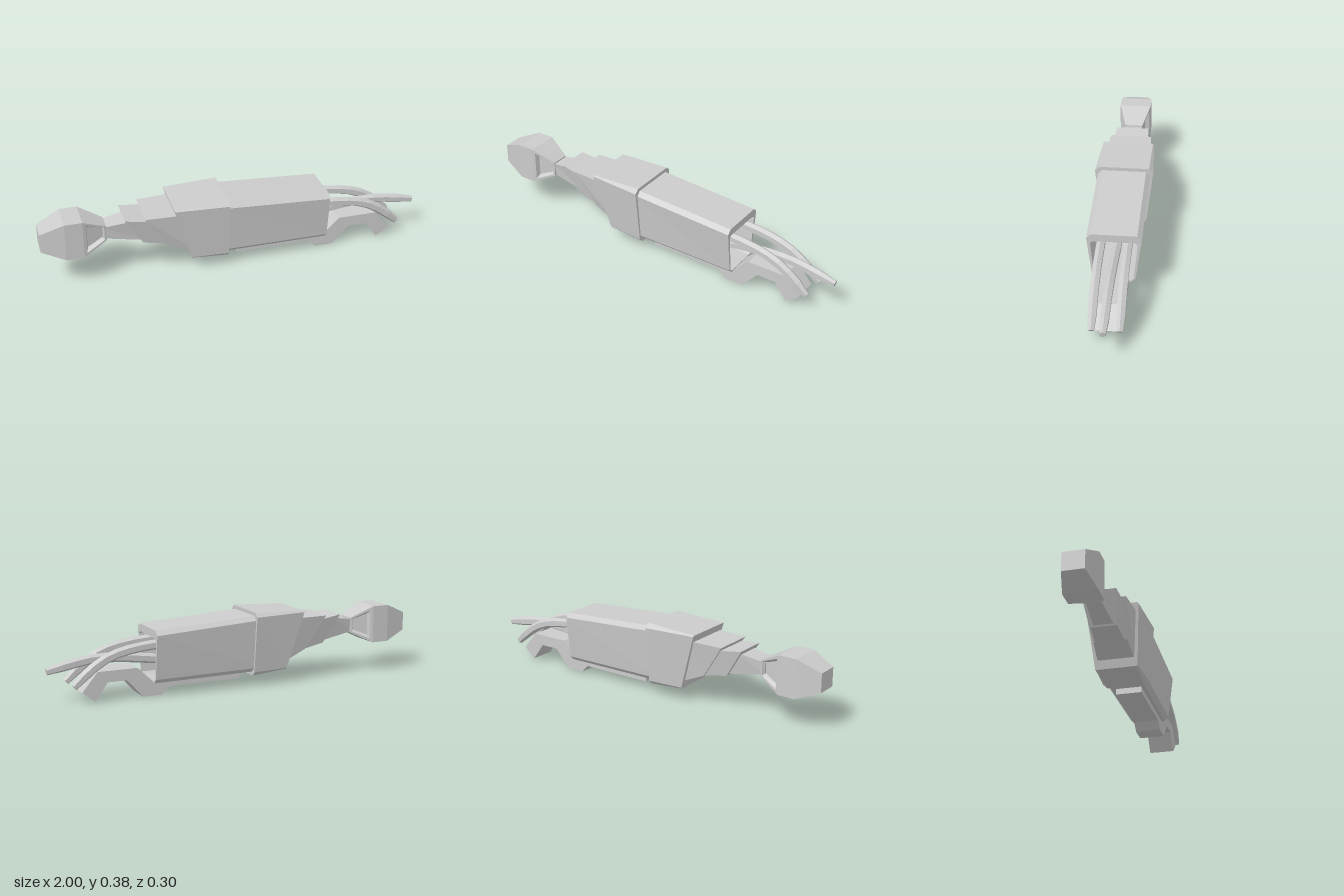
import * as THREE from 'three';

const material = new THREE.MeshStandardMaterial({ color: 0xcccccc, flatShading: true });

// Skin a list of equal-sized point rings; optional caps and skipped side strips
function loft(name, rings, { start = true, end = true, skip = () => false } = {}) {
  const n = rings[0].length, index = [];
  for (let r = 0; r < rings.length - 1; r++) {
    for (let i = 0; i < n; i++) {
      if (skip(r, i)) continue;
      const j = (i + 1) % n, a = r * n + i, b = r * n + j;
      index.push(a, b, b + n, a, b + n, a + n);
    }
  }
  const last = (rings.length - 1) * n;
  for (let i = 1; i < n - 1; i++) {
    if (start) index.push(0, i + 1, i);
    if (end) index.push(last, last + i, last + i + 1);
  }
  const geometry = new THREE.BufferGeometry();
  geometry.setAttribute('position', new THREE.Float32BufferAttribute(rings.flat(2), 3));
  geometry.setIndex(index);
  const flat = geometry.toNonIndexed();
  flat.computeVertexNormals();
  const mesh = new THREE.Mesh(flat, material);
  mesh.name = name;
  return mesh;
}

// Slanted trapezoid section across x: top and bottom x, y, half width, plus corner chamfer
function section(xT, xB, yT, yB, wT, wB, c = 0) {
  const half = c
    ? [[yT, wT - c], [yT - c, wT], [yB + c, wB], [yB, wB - c]]
    : [[yT, wT], [yB, wB]];
  const point = (y, z) => [xB + (xT - xB) * (y - yB) / (yT - yB), y, z];
  const left = half.map(([y, w]) => point(y, w));
  const right = half.map(([y, w]) => point(y, -w)).reverse();
  // start at the upper right corner
  return [right[right.length - 1], ...left, ...right.slice(0, -1)];
}

// Hexagonal cable swept along a path in the xy plane
function cable(name, points, z) {
  const curve = new THREE.CatmullRomCurve3(points.map(([x, y]) => new THREE.Vector3(x, y, z)));
  const hex = [[0, 0.025], [0.02, 0.013], [0.02, -0.013], [0, -0.025], [-0.02, -0.013], [-0.02, 0.013]];
  const rings = [];
  const steps = 10;
  for (let i = 0; i <= steps; i++) {
    const p = curve.getPoint(i / steps), t = curve.getTangent(i / steps);
    const s = i === steps ? 0.7 : 1;
    rings.push(hex.map(([w, h]) => [p.x - t.y * h * s, p.y + t.x * h * s, z + w * s]));
  }
  return loft(name, rings);
}

export function createModel() {
  const model = new THREE.Group();
  model.name = 'mechanicalArm';

  // Hollow main sleeve, open at the +x end
  model.add(loft('sleeve', [
    section(-0.12, -0.12, 0.37, 0.072, 0.135, 0.11, 0.022),
    section(0.475, 0.475, 0.335, 0.066, 0.133, 0.105, 0.022),
    section(0.475, 0.475, 0.296, 0.076, 0.114, 0.096, 0.012),
    section(0.05, 0.05, 0.296, 0.08, 0.114, 0.096, 0.012),
  ]));

  // Collar with a slanted rear edge
  model.add(loft('collar', [
    section(-0.34, -0.25, 0.373, 0.07, 0.135, 0.108, 0.006),
    section(-0.06, -0.06, 0.385, 0.052, 0.15, 0.118, 0.022),
  ]));

  // Overlapping slanted segments narrowing to the neck
  model.add(loft('wideSegment', [
    section(-0.484, -0.37, 0.333, 0.16, 0.108, 0.085),
    section(-0.3, -0.22, 0.335, 0.095, 0.12, 0.095),
  ]));
  model.add(loft('middleSegment', [
    section(-0.582, -0.49, 0.328, 0.18, 0.085, 0.065),
    section(-0.44, -0.35, 0.308, 0.155, 0.095, 0.075),
  ]));
  model.add(loft('neck', [
    section(-0.69, -0.69, 0.285, 0.222, 0.042, 0.036),
    section(-0.54, -0.46, 0.31, 0.182, 0.065, 0.052),
  ]));

  // Faceted head, its sides near the neck left open for the recesses
  const head = new THREE.Group();
  head.name = 'head';
  const headSections = [
    [-1, 0.302, 0.205, 0.055], [-0.88, 0.355, 0.157, 0.085],
    [-0.79, 0.355, 0.157, 0.085], [-0.67, 0.295, 0.215, 0.047],
  ].map(([x, yT, yB, w]) => section(x, x, yT, yB, w, w));
  head.add(loft('headShell', headSections, { skip: (r, i) => r === 2 && i % 2 === 1 }));

  // Recessed side panels
  const sideZ = x => 0.085 + (x + 0.79) * (0.047 - 0.085) / 0.12;
  const frame = (x0, h0, x1, h1, depth) =>
    [[x0, -h0], [x1, -h1], [x1, h1], [x0, h0]].map(([x, h]) => [x, 0.256 + h, sideZ(x) - depth]);
  const panel = [
    [[-0.79, 0.157, 0.085], [-0.67, 0.215, 0.047], [-0.67, 0.295, 0.047], [-0.79, 0.355, 0.085]],
    frame(-0.775, 0.077, -0.68, 0.036, 0),
    frame(-0.768, 0.058, -0.69, 0.028, 0.022),
  ];
  head.add(loft('leftRecess', panel, { start: false }));
  const mirrored = panel.map(ring => ring.map(([x, y, z]) => [x, y, -z]).reverse());
  head.add(loft('rightRecess', mirrored, { start: false }));
  model.add(head);

  // Bent plate running under the sleeve and out past its open end
  const outline = [
    [0, 0.04], [0.39, 0.04], [0.43, 0], [0.527, 0], [0.61, 0.093], [0.71, 0.093],
    [0.775, 0.003], [0.84, 0.055], [0.76, 0.15], [0.555, 0.15], [0.475, 0.072], [0, 0.076],
  ];
  const shape = new THREE.Shape(outline.map(([x, y]) => new THREE.Vector2(x, y)));
  const plateGeometry = new THREE.ExtrudeGeometry(shape, { depth: 0.133, bevelEnabled: false });
  plateGeometry.translate(0, 0, -0.0665);
  const plate = new THREE.Mesh(plateGeometry, material);
  plate.name = 'lowerPlate';
  model.add(plate);

  // Two outer cables drooping and one central cable
  const droop = [[0.06, 0.25], [0.3, 0.262], [0.475, 0.258], [0.6, 0.244], [0.7, 0.217], [0.79, 0.165], [0.88, 0.086]];
  model.add(cable('leftCable', droop, 0.066));
  model.add(cable('rightCable', droop, -0.066));
  model.add(cable('centreCable', [
    [0.06, 0.15], [0.3, 0.155], [0.475, 0.178], [0.62, 0.197], [0.75, 0.202], [0.86, 0.188], [0.995, 0.161],
  ], 0));

  return model;
}
